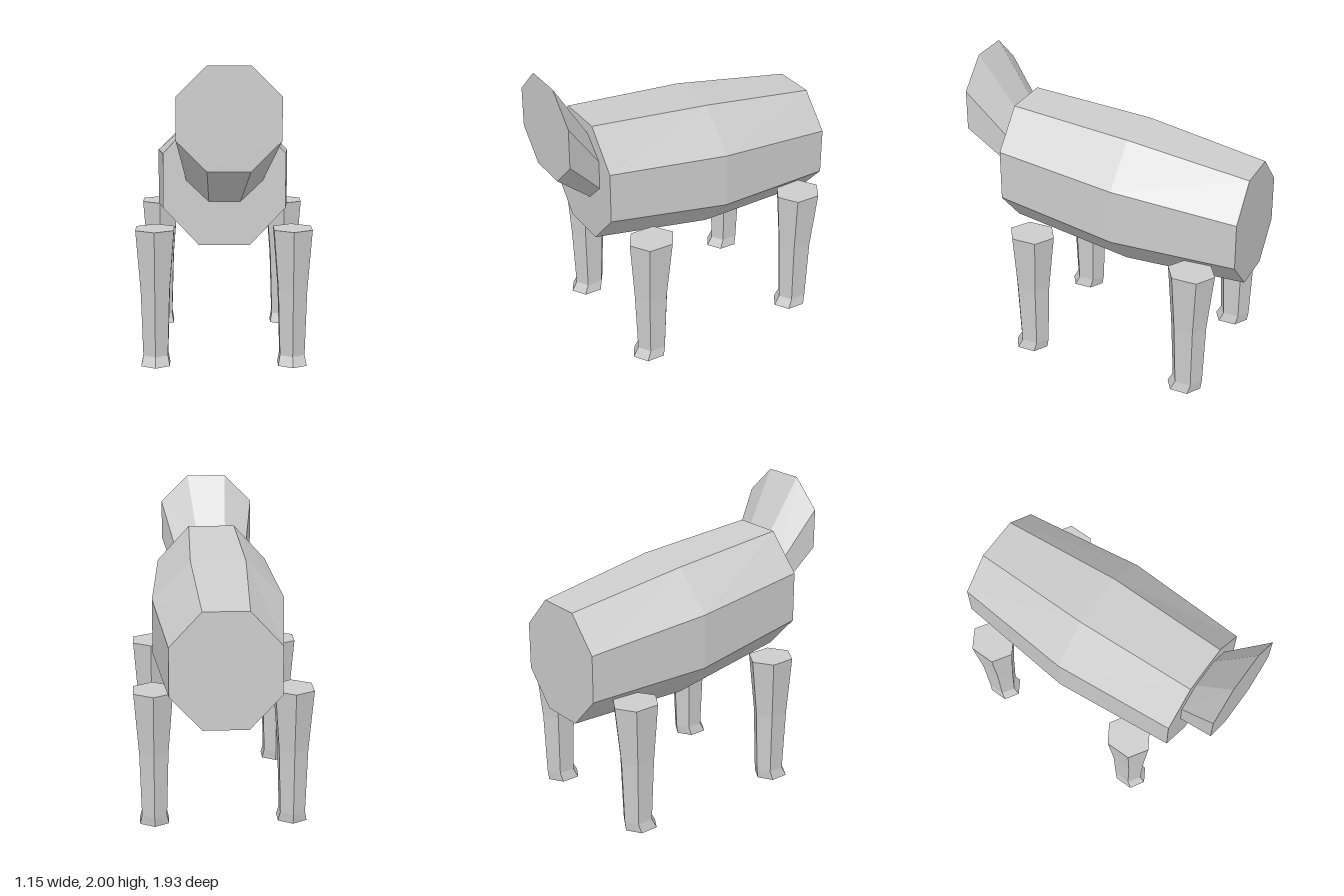
import * as THREE from 'three';

const clay = new THREE.MeshStandardMaterial({ color: 0xcccccc, flatShading: true });
clay.name = 'plain grey';

// Skins rings of points (counter-clockwise seen from the first end) and caps both ends.
function loft(name, rings) {
  const pos = [];
  const tri = (a, b, c) => pos.push(...a, ...b, ...c);
  const n = rings[0].length;
  for (let i = 0; i < rings.length - 1; i++) {
    for (let j = 0; j < n; j++) {
      const k = (j + 1) % n;
      const a = rings[i][j], b = rings[i][k], c = rings[i + 1][k], d = rings[i + 1][j];
      tri(a, d, c);
      tri(a, c, b);
    }
  }
  const first = rings[0], last = rings[rings.length - 1];
  for (let j = 1; j < n - 1; j++) {
    tri(first[0], first[j], first[j + 1]);
    tri(last[0], last[j + 1], last[j]);
  }
  const geometry = new THREE.BufferGeometry();
  geometry.setAttribute('position', new THREE.Float32BufferAttribute(pos, 3));
  geometry.computeVertexNormals();
  const mesh = new THREE.Mesh(geometry, clay);
  mesh.name = name;
  return mesh;
}

// Upright octagon: centre x, depth z, outer and inner half-widths, four heights from the top down.
function octagon(cx, z, outer, inner, [top, upper, lower, bottom]) {
  return [
    [outer, lower], [outer, upper], [inner, top], [-inner, top],
    [-outer, upper], [-outer, lower], [-inner, bottom], [inner, bottom],
  ].map(([x, y]) => [cx + x, y, z]);
}

// Level hexagon with points at its front and back.
function hexagon(y, cz, halfX, halfZ) {
  return [
    [1, 0.52], [1, -0.52], [0, -1], [-1, -0.52], [-1, 0.52], [0, 1],
  ].map(([x, z]) => [x * halfX, y, cz + z * halfZ]);
}

export function createModel() {
  const model = new THREE.Group();
  model.name = 'animal';

  // Barrel body, widest in the middle and sloping down to the rear
  model.add(loft('body', [
    octagon(0, 0.71, 0.387, 0.163, [1.675, 1.43, 1.085, 0.845]),
    octagon(0, -0.13, 0.443, 0.185, [1.607, 1.35, 0.975, 0.715]),
    octagon(0, -0.967, 0.355, 0.148, [1.48, 1.256, 0.938, 0.715]),
  ]));

  // Head flaring forward and up, slightly off centre
  model.add(loft('head', [
    octagon(0.025, 0.967, 0.326, 0.135, [2, 1.81, 1.54, 1.35]),
    octagon(0, 0.7, 0.239, 0.098, [1.58, 1.445, 1.25, 1.115]),
  ]));

  // Four tapered legs with flared feet
  for (const [end, z] of [['front', 0.45], ['rear', -0.708]]) {
    for (const [side, sx] of [['Left', 1], ['Right', -1]]) {
      const leg = loft(end + side + 'Leg', [
        hexagon(0.905, 0, 0.125, 0.163),
        hexagon(0.5, 0.008, 0.094, 0.125),
        hexagon(0.065, 0.007, 0.081, 0.106),
        hexagon(0, 0.03, 0.094, 0.119),
      ]);
      leg.position.set(sx * 0.45, 0, z);
      model.add(leg);
    }
  }
  return model;
}
